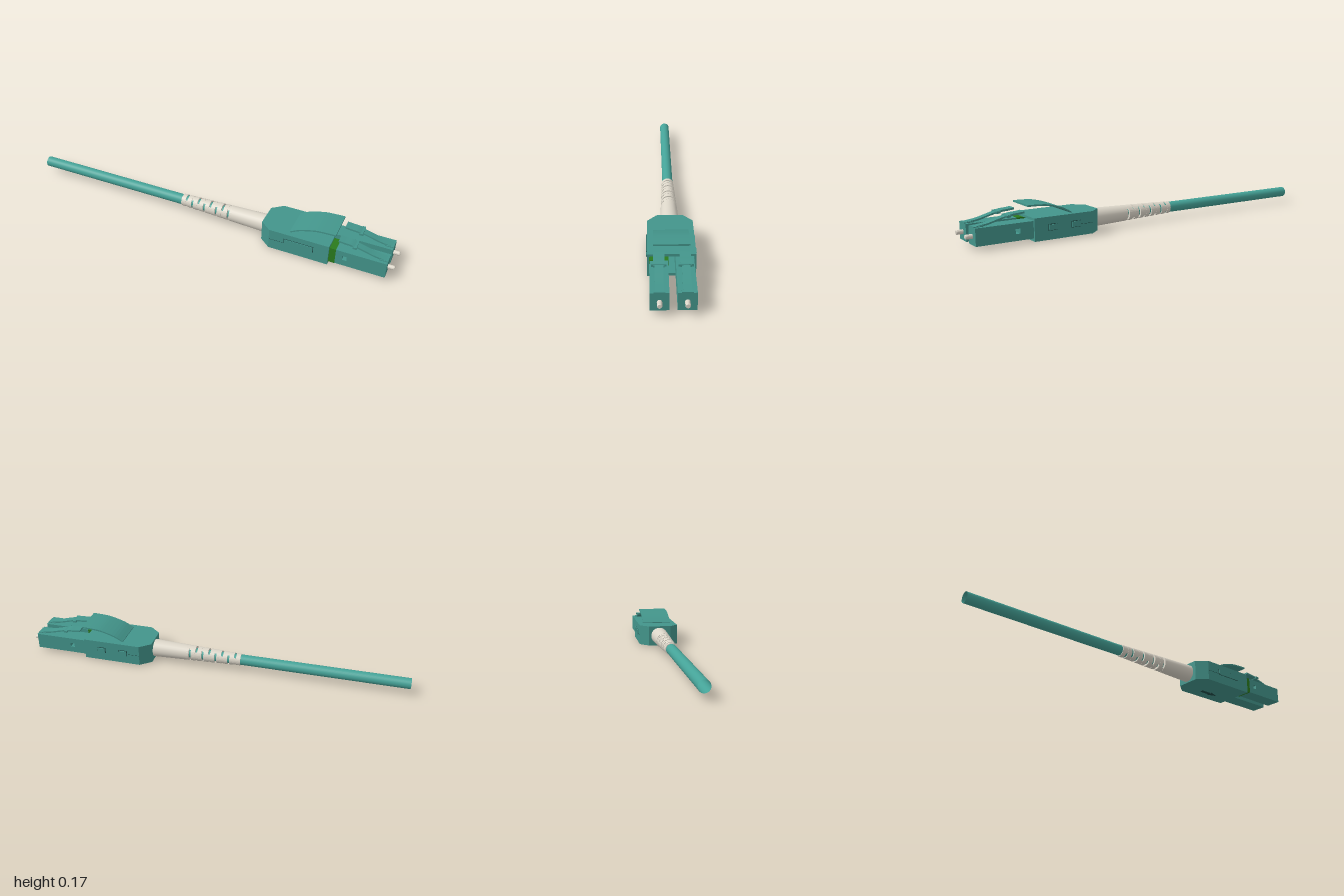
import * as THREE from 'three';

const mat = (name, color, side = THREE.FrontSide) => {
  const m = new THREE.MeshStandardMaterial({ color, side });
  m.name = name;
  return m;
};

const AXIS_Y = 0.058; // height of the cable axis
const MID_Z = 0.003;  // middle plane of the duplex housing

export function createModel() {
  const teal = mat('teal plastic', 0x43958b);
  const jacket = mat('teal cable jacket', 0x45a398, THREE.DoubleSide);
  const cream = mat('cream rubber', 0xdcd6c9, THREE.DoubleSide);
  const green = mat('green insert', 0x2a7a1c);
  const dark = mat('dark slot', 0x1f4a46);

  const model = new THREE.Group();
  model.name = 'duplexFibreConnector';

  const add = (name, geometry, material, parent = model) => {
    const mesh = new THREE.Mesh(geometry, material);
    mesh.name = name;
    parent.add(mesh);
    return mesh;
  };
  // Box given by its limits on each axis
  const block = (name, x0, x1, y0, y1, z0, z1, material = teal, parent = model) => {
    const g = new THREE.BoxGeometry(x1 - x0, y1 - y0, Math.abs(z1 - z0));
    g.translate((x0 + x1) / 2, (y0 + y1) / 2, (z0 + z1) / 2);
    return add(name, g, material, parent);
  };
  const shapeOf = pts => new THREE.Shape(pts.map(p => new THREE.Vector2(...p)));
  // Side profile (x, y) extruded between two z limits
  const extrudeZ = (shape, z0, z1) => {
    const g = new THREE.ExtrudeGeometry(shape, { depth: z1 - z0, bevelEnabled: false });
    return g.translate(0, 0, z0);
  };
  // Plan outline (x, z) extruded between two heights
  const extrudeY = (pts, y0, y1) => {
    const g = new THREE.ExtrudeGeometry(shapeOf(pts.map(([x, z]) => [x, -z])),
      { depth: y1 - y0, bevelEnabled: false });
    return g.rotateX(-Math.PI / 2).translate(0, y0, 0);
  };
  // Thin curved strip following a smooth line
  const strip = (pts, thick, z0, z1) => {
    const line = new THREE.SplineCurve(pts.map(p => new THREE.Vector2(...p))).getPoints(16);
    const under = line.map(p => new THREE.Vector2(p.x, p.y - thick)).reverse();
    return extrudeZ(new THREE.Shape([...line, ...under]), z0, z1);
  };
  // Tube section along x, between two radii
  const alongX = (x0, x1, r0, r1, open = true, start = 0, sweep = Math.PI * 2) => {
    const g = new THREE.CylinderGeometry(r1, r0, x1 - x0, 28, 1, open, start, sweep);
    return g.rotateZ(-Math.PI / 2).translate((x0 + x1) / 2, AXIS_Y, 0);
  };

  // Cable
  add('cable', alongX(-1, 0.15, 0.0275, 0.0275), jacket).position.z = MID_Z / 2;

  // Strain relief boot: rings joined by alternating bridges, then a plain cone
  const boot = new THREE.Group();
  boot.name = 'boot';
  boot.position.z = MID_Z / 2;
  model.add(boot);
  const bootRadius = x => 0.031 + (x + 0.14) * 0.034;
  const ring = (name, x0, x1) => {
    const pts = [[0.027, x0], [bootRadius(x0), x0], [bootRadius(x1), x1], [0.027, x1]];
    const g = new THREE.LatheGeometry(pts.map(p => new THREE.Vector2(...p)), 28).toNonIndexed();
    g.computeVertexNormals();
    add(name, g.rotateZ(-Math.PI / 2).translate(0, AXIS_Y, 0), cream, boot);
  };
  const pitch = 0.0345, gap = 0.0115;
  for (let i = 0; i < 8; i++) {
    const x = -0.14 + i * pitch;
    ring('bootRing', x, x + pitch - gap);
    for (const half of [0, Math.PI]) {
      const start = half + (i % 2) * Math.PI / 2 - 0.65;
      const a = x + pitch - gap, b = x + pitch;
      add('bootBridge', alongX(a, b, bootRadius(a) - 0.001, bootRadius(b) - 0.001, true, start, 1.3), cream, boot);
    }
  }
  add('bootCone', alongX(0.136, 0.36, bootRadius(0.136), 0.0475), cream, boot);
  ring('bootShoulder', 0.136, 0.15);

  // Housing: floor, roof and two wrapping side walls, open at the front
  const housing = new THREE.Group();
  housing.name = 'housing';
  housing.position.z = MID_Z;
  model.add(housing);
  const W = 0.1075;
  const outline = [[0.33, 0.062], [0.385, W], [0.69, W], [0.69, -W], [0.385, -W], [0.33, -0.062]];
  add('housingFloor', extrudeY(outline, 0.004, 0.016), teal, housing);
  add('housingRoof', extrudeY(outline, 0.101, 0.113), teal, housing);
  for (const s of [1, -1]) {
    const wall = [[0.33, 0.014], [0.33, 0.062], [0.385, W], [0.69, W], [0.69, W - 0.009],
      [0.389, W - 0.009], [0.339, 0.056], [0.339, 0.014]].map(([x, z]) => [x, z * s]);
    add('housingWall', extrudeY(wall, 0.016, 0.101), teal, housing);
    // seam between the two half shells
    block('wallSeam', 0.386, 0.46, 0.0575, 0.059, s * W, s * (W + 0.0005), dark, housing);
  }
  // Side clip on the left wall, two snap lugs on the other
  block('clipOutline', 0.463, 0.614, 0.053, 0.085, W, W + 0.001, dark, housing);
  block('sideClip', 0.466, 0.611, 0.055, 0.083, W, W + 0.004, teal, housing);
  for (const x of [0.455, 0.575]) {
    block('lugSlot', x - 0.003, x + 0.045, 0.047, 0.079, -W - 0.001, -W, dark, housing);
    block('snapLug', x, x + 0.042, 0.05, 0.076, -W - 0.006, -W, teal, housing);
  }
  // Direction arrow under the floor
  add('floorArrow', extrudeY([[0.465, -0.008], [0.53, -0.008], [0.53, -0.017], [0.58, 0],
    [0.53, 0.017], [0.53, 0.008], [0.465, 0.008]], 0, 0.004), dark, housing).position.z = -0.038;

  // Push lever arching over the housing
  add('pushLever', strip([[0.482, 0.117], [0.53, 0.143], [0.6, 0.164], [0.65, 0.17], [0.708, 0.172]],
    0.008, -0.08, 0.08), teal, housing);

  // Two plugs with latch and ferrule
  for (const s of [1, -1]) {
    const plug = new THREE.Group();
    plug.name = s > 0 ? 'leftPlug' : 'rightPlug';
    plug.position.z = MID_Z + s * 0.0565;
    model.add(plug);

    const x0 = s > 0 ? 0.715 : 0.48;
    const body = shapeOf([[x0, 0.018], [0.967, 0.018], [0.967, 0.1], [x0, 0.1]]);
    body.holes.push(new THREE.Path([[0.755, 0.05], [0.755, 0.073], [0.778, 0.073], [0.778, 0.05]]
      .map(p => new THREE.Vector2(...p))));
    add('plugBody', extrudeZ(body, -0.04, 0.04), teal, plug);
    if (s > 0) block('greenInsert', 0.48, 0.722, 0.0165, 0.1005, -0.042, 0.0405, green, plug);

    add('latchArm', strip([[0.81, 0.135], [0.85, 0.125], [0.9, 0.112], [0.965, 0.103]],
      0.008, -0.018, 0.018), teal, plug);
    add('latchPad', strip([[0.725, 0.146], [0.755, 0.143], [0.785, 0.141], [0.815, 0.134]],
      0.009, -0.024, 0.024), teal, plug);
    block('latchRoot', 0.925, 0.967, 0.098, 0.104, -0.024, 0.024, teal, plug);
    block('latchPins', 0.795, 0.813, 0.127, 0.137, -0.032, 0.032, teal, plug);

    const ferrule = new THREE.LatheGeometry([[0, 0], [0.011, 0], [0.011, 0.035], [0.009, 0.04], [0, 0.04]]
      .map(p => new THREE.Vector2(...p)), 20).toNonIndexed();
    ferrule.computeVertexNormals();
    add('ferrule', ferrule.rotateZ(-Math.PI / 2).translate(0.96, AXIS_Y, 0), cream, plug);
  }
  return model;
}
